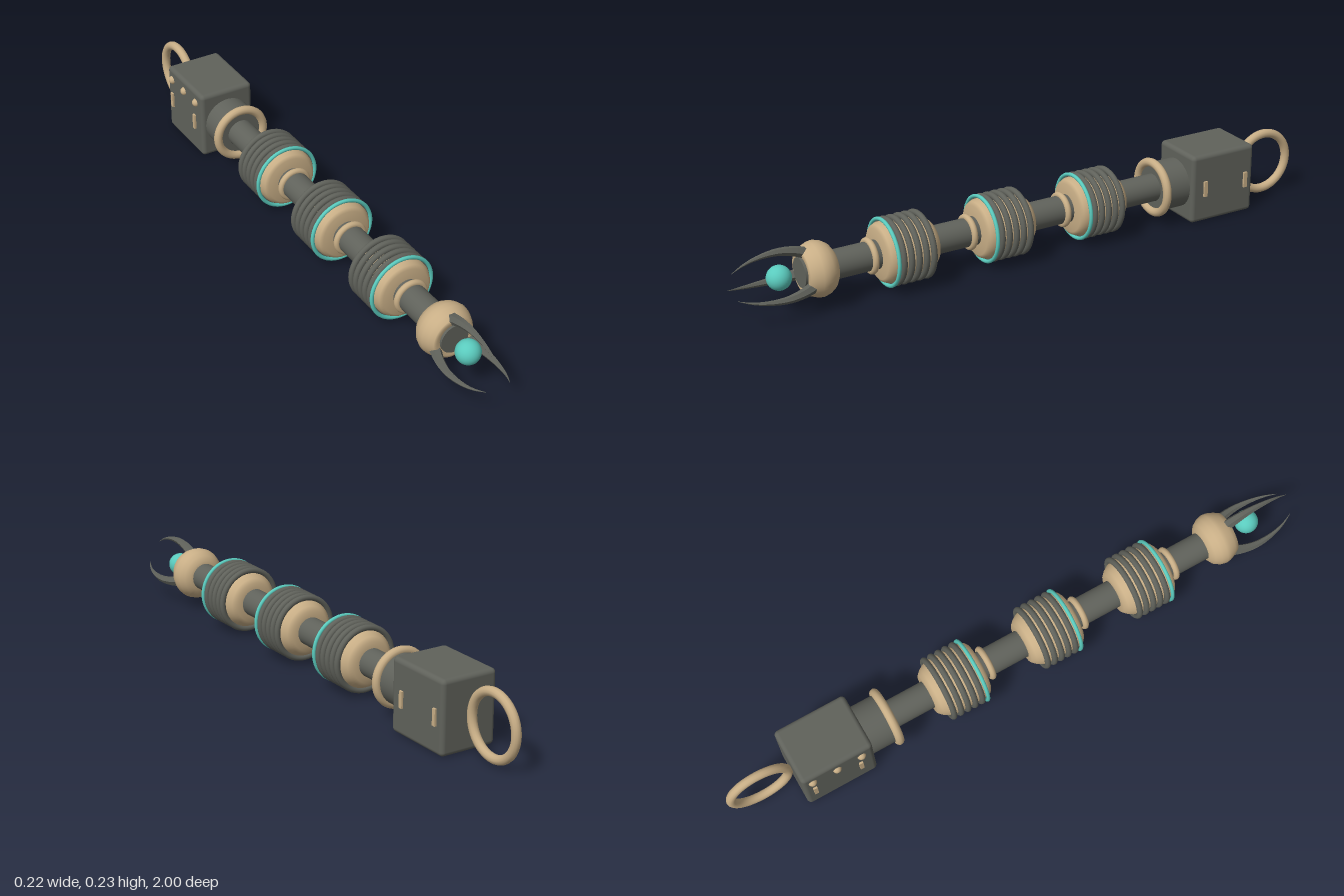
import * as THREE from 'three';
import { RoundedBoxGeometry } from 'three/addons/geometries/RoundedBoxGeometry.js';

const AXIS = 0.116; // height of the shaft axis

export function createModel() {
  const model = new THREE.Group();
  model.name = 'wand';
  const mat = (name, color, extra = {}) => {
    const m = new THREE.MeshStandardMaterial({ color, ...extra });
    m.name = name;
    return m;
  };
  const dark = mat('dark metal', 0x60625b);
  const tan = mat('warm brass', 0xc8ae86);
  const teal = mat('teal glow', 0x5acabd);

  const add = (parent, name, geometry, material, x = 0, y = 0, z = 0) => {
    const mesh = new THREE.Mesh(geometry, material);
    mesh.name = name;
    mesh.position.set(x, y, z);
    parent.add(mesh);
    return mesh;
  };
  // Solid of revolution along z, from [radius, z] pairs
  const turned = (pts) =>
    new THREE.LatheGeometry(pts.map(([r, z]) => new THREE.Vector2(r, z)), 48).rotateX(Math.PI / 2);
  const rod = (r, z0, z1) =>
    new THREE.CylinderGeometry(r, r, z1 - z0, 40).rotateX(Math.PI / 2).translate(0, 0, (z0 + z1) / 2);
  const ring = (R, t) => new THREE.TorusGeometry(R, t, 12, 56);

  const body = new THREE.Group();
  body.name = 'body';
  body.position.y = AXIS;
  model.add(body);

  // Shaft and collar
  add(body, 'shaft', rod(0.045, -0.5, 0.7), dark);
  add(body, 'collar', rod(0.08, -0.55, -0.45), dark);
  add(body, 'collarRing', ring(0.083, 0.014), tan, 0, 0, -0.45);

  // Three ribbed grips
  const gripGeo = turned([[0.04, -0.09], [0.066, -0.09], [0.078, -0.078], [0.088, -0.062], [0.094, -0.045],
    [0.095, 0], [0.095, 0.055], [0.094, 0.07], [0.088, 0.083], [0.078, 0.09], [0.045, 0.092]]);
  const ribGeo = ring(0.0985, 0.0095);
  for (const z of [0.45, 0.117, -0.216]) {
    const grip = new THREE.Group();
    grip.name = 'grip';
    grip.position.z = z;
    body.add(grip);
    add(grip, 'gripCore', gripGeo, tan);
    for (let i = 0; i < 5; i++) add(grip, 'rib', ribGeo, dark, 0, 0, -0.052 + i * 0.025);
    add(grip, 'glowRing', ring(0.103, 0.006), teal, 0, 0, 0.066);
    add(grip, 'shaftRing', ring(0.047, 0.01), tan, 0, 0, 0.115);
  }

  // Head, socket and orb
  add(body, 'head', turned([[0.04, 0.685], [0.054, 0.686], [0.07, 0.697], [0.081, 0.714], [0.086, 0.733],
    [0.084, 0.748], [0.076, 0.768], [0.067, 0.783], [0.058, 0.786], [0.04, 0.78]]), tan);
  add(body, 'socket', rod(0.046, 0.7, 0.79), dark);
  add(body, 'orb', new THREE.SphereGeometry(0.038, 32, 20), teal, 0, 0, 0.855);

  // Three curved claws: tapered six-sided tubes
  const path = new THREE.CatmullRomCurve3([[0.058, 0.765], [0.074, 0.81], [0.082, 0.86], [0.077, 0.92],
    [0.064, 0.965], [0.046, 1]].map(([r, z]) => new THREE.Vector3(0, r, z)));
  const segs = 14;
  const tube = new THREE.TubeGeometry(path, segs, 1, 6, false);
  const p = tube.attributes.position;
  const v = new THREE.Vector3();
  for (let i = 0; i < p.count; i++) {
    const t = Math.floor(i / 7) / segs;
    const c = path.getPointAt(t);
    v.fromBufferAttribute(p, i).sub(c).multiplyScalar(0.018 * (1 - t) + 0.0004).add(c);
    p.setXYZ(i, v.x, v.y, v.z);
  }
  const clawGeo = tube.toNonIndexed();
  clawGeo.computeVertexNormals();
  for (let i = 0; i < 3; i++) add(body, 'claw', clawGeo, dark).rotation.z = (i * 2 * Math.PI) / 3;

  // Rear housing with side plates and knobs
  add(model, 'housing', new RoundedBoxGeometry(0.188, 0.23, 0.24, 4, 0.014), dark, 0, 0.115, -0.66);
  for (const side of [1, -1])
    for (const z of [-0.747, -0.59])
      add(model, 'sidePlate', new THREE.BoxGeometry(0.009, 0.052, 0.013), tan, side * 0.096, 0.114, z);
  for (const z of [-0.748, -0.665, -0.582])
    add(model, 'knob', new THREE.SphereGeometry(0.014, 16, 12), tan, -0.092, 0.19, z);

  // Hanging ring
  add(body, 'hangingRing', ring(0.097, 0.0145).rotateY(Math.PI / 2), tan, 0, 0, -0.8885);
  return model;
}
